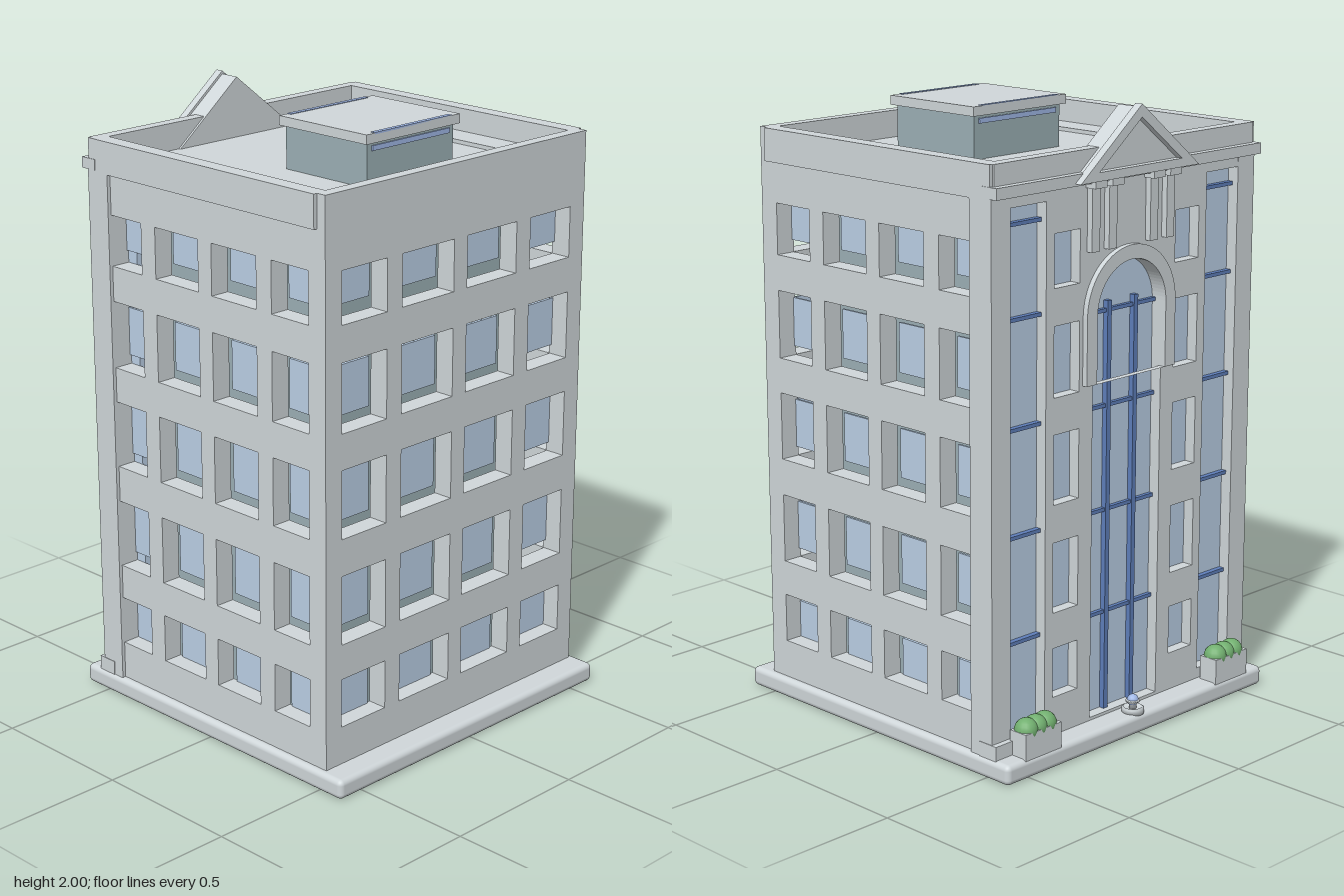
import * as THREE from 'three';
import { RoundedBoxGeometry } from 'three/addons/geometries/RoundedBoxGeometry.js';

const mat = (name, color) => Object.assign(new THREE.MeshStandardMaterial({ color }), { name });

// Openings per floor [bottom, top] and the matching glass
const ROWS = [[0.19, 0.35], [0.465, 0.69], [0.81, 1.03], [1.145, 1.365], [1.48, 1.645]];
const GLASS = [[0.15, 0.313], [0.495, 0.655], [0.84, 0.998], [1.175, 1.333], [1.52, 1.68]];
const BOTTOM = 0.06, DECK = 1.79, TOP = 1.88;

const rectPath = (x0, x1, y0, y1, Type = THREE.Path) => {
  const p = new Type();
  p.moveTo(x0, y0); p.lineTo(x1, y0); p.lineTo(x1, y1); p.lineTo(x0, y1); p.closePath();
  return p;
};
const archPath = (r, y0, spring, Type = THREE.Path) => {
  const p = new Type();
  p.moveTo(-r, y0); p.lineTo(r, y0); p.lineTo(r, spring);
  p.absarc(0, spring, r, 0, Math.PI, false); p.closePath();
  return p;
};
const gable = (half, base, peak, Type = THREE.Shape) => {
  const p = new Type();
  p.moveTo(-half, base); p.lineTo(half, base); p.lineTo(0, peak); p.closePath();
  return p;
};
// Range mirrored to the chosen side
const span = (s, a, b) => (s > 0 ? [a, b] : [-b, -a]);

export function createModel() {
  const root = new THREE.Group();
  root.name = 'building';
  const stone = mat('stone', 0xd0d7da), glass = mat('glass', 0xbbd0e6);
  const dark = mat('dark core', 0x9cb0b5), blue = mat('blue trim', 0x5f7fbb);
  const pale = mat('pale blue strip', 0xa0b8e6), green = mat('leaf green', 0x72b070);

  const add = (parent, name, geo, m, x = 0, y = 0, z = 0) => {
    const mesh = new THREE.Mesh(geo, m);
    mesh.name = name;
    mesh.position.set(x, y, z);
    parent.add(mesh);
    return mesh;
  };
  // Box from its minimum and maximum on each axis
  const box = (parent, name, m, x0, x1, y0, y1, z0, z1) =>
    add(parent, name, new THREE.BoxGeometry(x1 - x0, y1 - y0, z1 - z0), m,
      (x0 + x1) / 2, (y0 + y1) / 2, (z0 + z1) / 2);
  const slab = (parent, name, shape, m, w0, w1) =>
    add(parent, name, new THREE.ExtrudeGeometry(shape, { depth: w1 - w0, bevelEnabled: false, curveSegments: 20 }), m, 0, 0, w0);

  // Base and inner core
  add(root, 'base', new RoundedBoxGeometry(1.2, 0.065, 1.2, 3, 0.018), stone, 0, 0.0325, 0);
  box(root, 'core', dark, -0.35, 0.345, BOTTOM, 1.78, -0.476, 0.476);

  // Window wall with a thinner parapet, built in its own plane, facing local +z
  const windowWall = (name, angle, x0, x1, outer, cols, panes) => {
    const g = new THREE.Group();
    g.name = name;
    g.rotation.y = angle;
    const shape = rectPath(x0, x1, BOTTOM, DECK, THREE.Shape);
    ROWS.forEach(([b, t], i) => cols.forEach(([l, r], j) => {
      shape.holes.push(rectPath(l, r, b, t));
      box(g, 'windowPane', glass, ...panes[j], ...GLASS[i], outer - 0.068, outer - 0.06);
    }));
    slab(g, 'wall', shape, stone, outer - 0.067, outer);
    box(g, 'parapet', stone, x0, x1, DECK, TOP, outer - 0.041, outer);
    root.add(g);
  };
  const cols = [[-0.43, -0.29], [-0.225, -0.03], [0.03, 0.225], [0.29, 0.445]];
  const panes = [[-0.43, -0.305], [-0.21, -0.05], [0.05, 0.21], [0.302, 0.447]];
  const flip = (list) => list.map(([a, b]) => [-b, -a]);
  windowWall('frontWall', 0, -0.52, 0.515, 0.577, cols, panes);
  windowWall('backWall', Math.PI, -0.515, 0.52, 0.577, flip(cols), flip(panes));
  const sideCols = [[-0.51, -0.32], [-0.255, -0.03], [0.03, 0.255], [0.32, 0.51]];
  const sidePanes = [[-0.512, -0.335], [-0.24, -0.045], [0.045, 0.24], [0.335, 0.512]];
  windowWall('sideWall', Math.PI / 2, -0.536, 0.536, 0.515, sideCols, sidePanes);

  // Roof deck, ledges and outer bands
  box(root, 'roofDeck', stone, -0.482, 0.476, 1.76, DECK + 0.002, -0.537, 0.537);
  for (const s of [-1, 1]) {
    box(root, 'roofLedge', stone, -0.48, 0.475, DECK, 1.805, ...span(s, 0.435, 0.536));
    box(root, 'corniceBand', stone, -0.515, 0.482, 1.775, TOP, ...span(s, 0.57, 0.59));
  }

  // Rooftop room
  const room = new THREE.Group();
  room.name = 'rooftopRoom';
  root.add(room);
  box(room, 'roomWalls', dark, -0.045, 0.302, DECK, 1.93, -0.19, 0.19);
  box(room, 'roomRoof', stone, -0.06, 0.315, 1.93, 1.96, -0.207, 0.205);
  for (const [x, w] of [[-0.06, -0.05], [0.299, 0.298]]) {
    box(room, 'roofStrip', pale, x, x + 0.016, 1.956, 1.962, -0.17, 0.17);
    box(room, 'sideStrip', pale, w, w + 0.009, 1.904, 1.92, -0.17, 0.17);
  }

  // Entrance facade: local x runs along the wall, local z points outwards
  const facade = new THREE.Group();
  facade.name = 'entranceFacade';
  facade.rotation.y = -Math.PI / 2;
  root.add(facade);
  const wall = rectPath(-0.512, 0.512, BOTTOM, DECK, THREE.Shape);
  wall.holes.push(archPath(0.155, 0.075, 1.37));
  for (const s of [-1, 1]) {
    wall.holes.push(rectPath(...span(s, 0.36, 0.51), 0.1, 1.745));
    ROWS.forEach(([b, t]) => wall.holes.push(rectPath(...span(s, 0.215, 0.325), b, t)));
    for (const y of [0.4, 0.735, 1.07, 1.405, 1.69])
      box(facade, 'glazingBar', blue, ...span(s, 0.36, 0.51), y - 0.006, y + 0.006, 0.48, 0.5);
    box(facade, 'cornerPilaster', stone, ...span(s, 0.51, 0.589), BOTTOM, 1.78, 0.43, 0.521);
    box(facade, 'pilasterFoot', stone, ...span(s, 0.515, 0.591), BOTTOM, 0.11, 0.47, 0.54);
    // Brackets between the arch and the gable
    for (const x of [0.075, 0.15]) {
      box(facade, 'bracket', stone, ...span(s, x, x + 0.035), 1.57, 1.78, 0.51, 0.54);
      box(facade, 'bracketCap', stone, ...span(s, x - 0.008, x + 0.043), 1.765, 1.795, 0.51, 0.56);
    }
  }
  slab(facade, 'facadeWall', wall, stone, 0.43, 0.52);
  box(facade, 'curtainGlass', glass, -0.511, 0.511, BOTTOM, 1.77, 0.39, 0.482);
  box(facade, 'facadeParapet', stone, -0.578, 0.578, DECK, TOP, 0.48, 0.521);
  box(facade, 'facadeCornice', stone, -0.592, 0.592, 1.78, 1.815, 0.485, 0.545);

  // Arch hood and its window bars
  const hood = archPath(0.2, 1.16, 1.37, THREE.Shape);
  hood.holes.push(archPath(0.155, 1.1601, 1.37));
  slab(facade, 'archHood', hood, stone, 0.515, 0.538);
  for (const x of [-0.06, 0.06])
    box(facade, 'archMullion', blue, x - 0.009, x + 0.009, 0.065, 1.4, 0.48, 0.5);
  for (const y of [0.4, 0.735, 1.07, 1.37])
    box(facade, 'archCrossbar', blue, -0.155, 0.155, y - 0.006, y + 0.006, 0.48, 0.495);

  // Gable over the entrance
  slab(facade, 'gableBody', gable(0.25, 1.79, 1.99), stone, 0.472, 0.545);
  const rake = gable(0.265, 1.788, 2.0);
  rake.holes.push(gable(0.185, 1.815, 1.96, THREE.Path));
  slab(facade, 'gableFrame', rake, stone, 0.54, 0.568);

  // Planters with bushes
  for (const s of [-1, 1]) {
    const planter = new THREE.Group();
    planter.name = 'planter';
    planter.position.x = s * 0.443;
    facade.add(planter);
    box(planter, 'planterBox', stone, -0.078, 0.078, BOTTOM, 0.145, 0.53, 0.598);
    for (const x of [-0.04, 0, 0.04])
      add(planter, 'bush', new THREE.SphereGeometry(0.038, 16, 12), green, x, 0.143, 0.562);
  }

  // Small fountain
  const basin = [[0, 0.06], [0.036, 0.06], [0.036, 0.078], [0.03, 0.082], [0.026, 0.075], [0, 0.075]];
  const bowl = [[0, 0.075], [0.012, 0.075], [0.012, 0.09], [0.024, 0.1], [0.022, 0.105], [0, 0.105]];
  const lathe = (pts) => new THREE.LatheGeometry(pts.map(([r, y]) => new THREE.Vector2(r, y)), 20);
  add(facade, 'fountainBasin', lathe(basin), stone, 0, 0, 0.562);
  add(facade, 'fountainBowl', lathe(bowl), stone, 0, 0, 0.562);
  add(facade, 'fountainWater', new THREE.SphereGeometry(0.019, 14, 10), pale, 0, 0.103, 0.562);

  return root;
}
